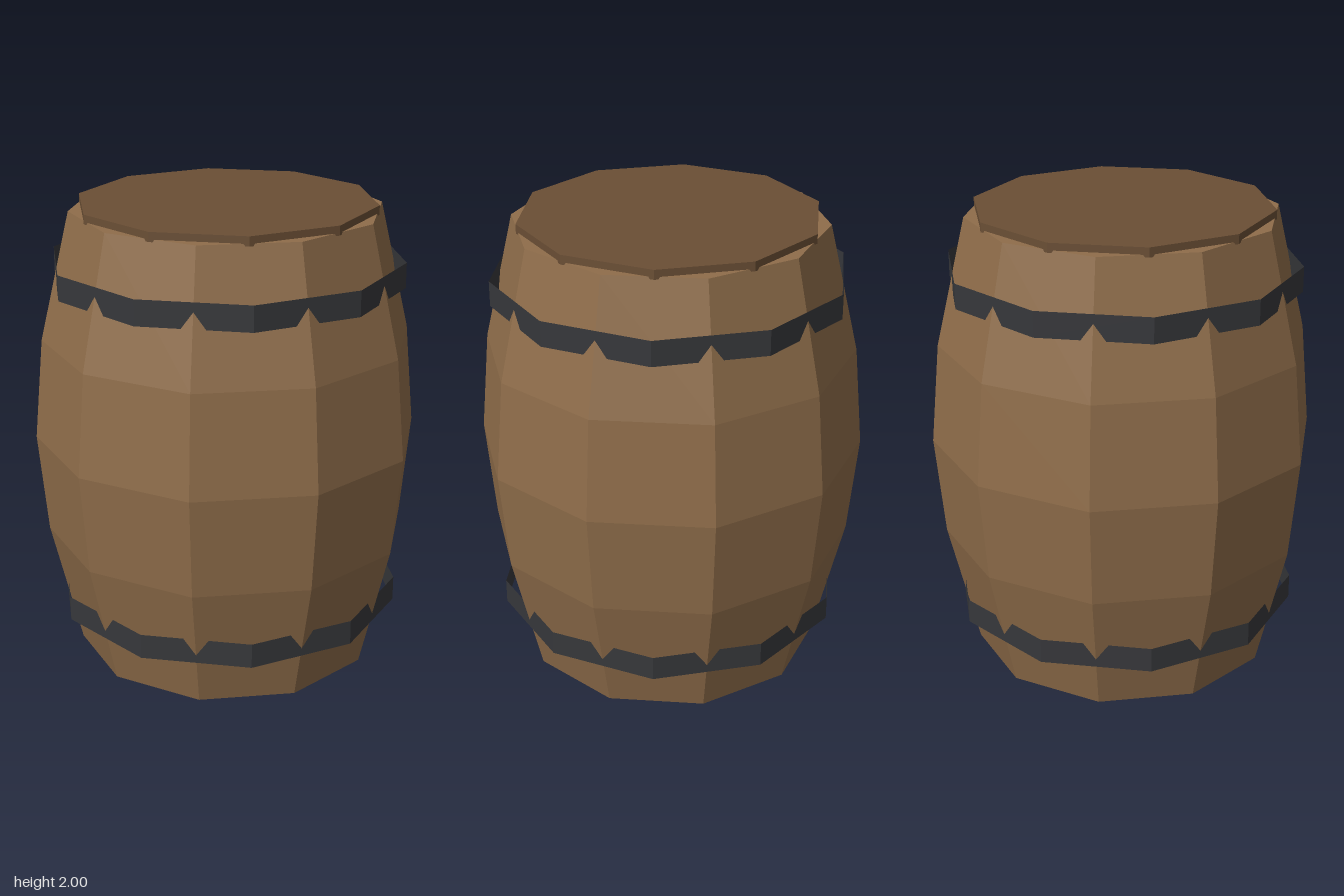
import * as THREE from 'three';

const SIDES = 10;

function addMesh(parent, name, geometry, color, y, side = THREE.FrontSide) {
  const mesh = new THREE.Mesh(
    geometry,
    new THREE.MeshStandardMaterial({ color, flatShading: true, side })
  );
  mesh.name = name;
  mesh.position.y = y;
  parent.add(mesh);
  return mesh;
}

export function createModel() {
  const barrel = new THREE.Group();
  barrel.name = 'barrel';

  // Bulging ten-sided body, closed at both ends, with corners on the x axis
  const profile = [
    [0, 0], [0.66, 0], [0.79, 0.55], [0.83, 0.985], [0.79, 1.42], [0.66, 1.97], [0, 1.97],
  ].map(([r, y]) => new THREE.Vector2(r, y));
  addMesh(barrel, 'body', new THREE.LatheGeometry(profile, SIDES, Math.PI / 2), 0x8f6d4a, 0);

  // Lid, turned half a side against the body
  addMesh(barrel, 'lid', new THREE.CylinderGeometry(0.635, 0.635, 0.04, SIDES), 0x6b4f35, 1.98);

  // Thin open hoops; the body corners poke through them
  const hoop = new THREE.CylinderGeometry(0.755, 0.755, 0.108, SIDES, 1, true);
  addMesh(barrel, 'lowerHoop', hoop, 0x37383b, 0.265, THREE.DoubleSide);
  addMesh(barrel, 'upperHoop', hoop, 0x37383b, 1.71, THREE.DoubleSide);

  return barrel;
}
